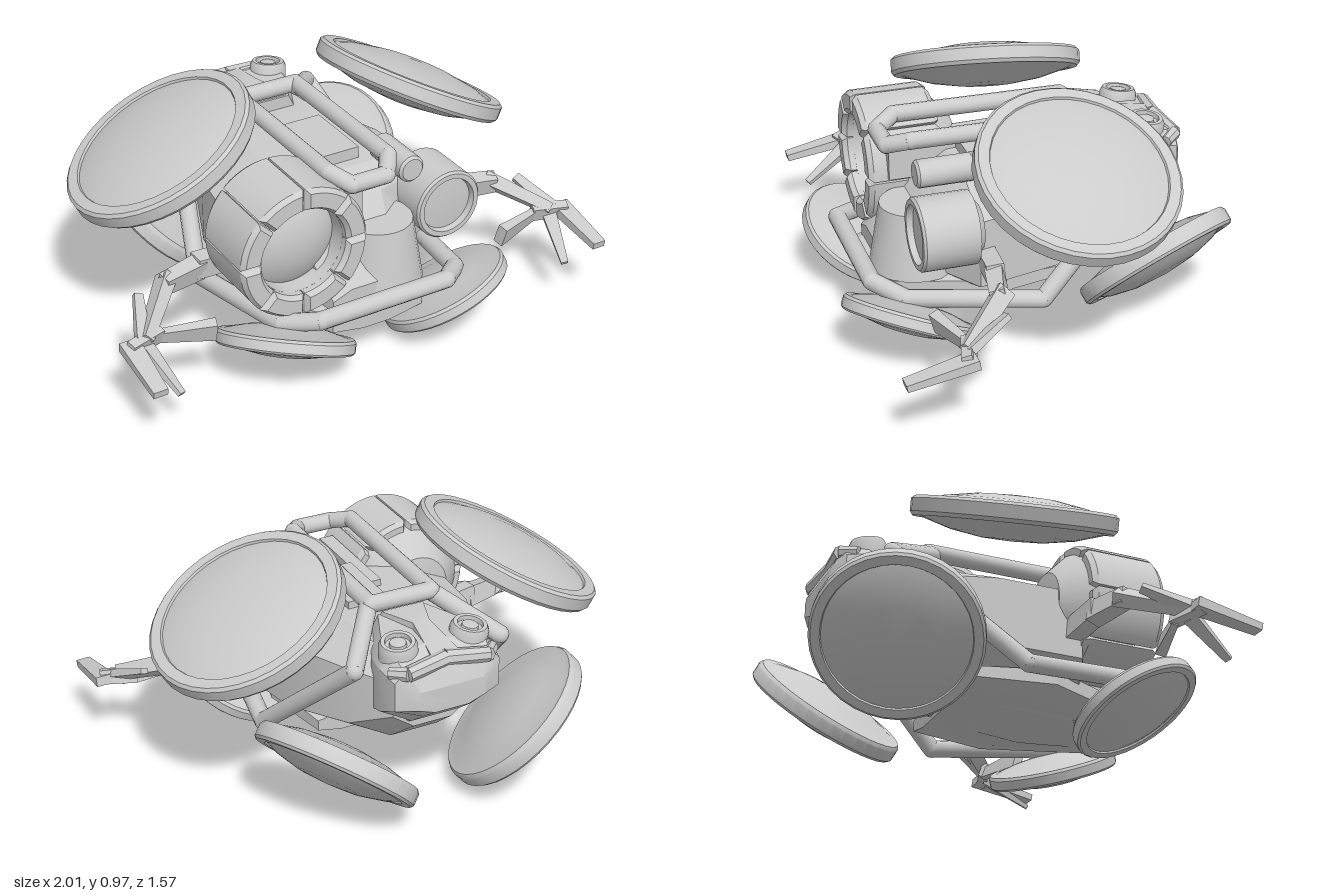
import * as THREE from 'three';
import { toCreasedNormals } from 'three/addons/utils/BufferGeometryUtils.js';

const mat = new THREE.MeshStandardMaterial({ color: 0xcccccc, side: THREE.DoubleSide });
const UP = new THREE.Vector3(0, 1, 0);
const V = (p) => new THREE.Vector3(...p);

function add(parent, name, geo, pos = [0, 0, 0], rot = [0, 0, 0], crease = 0.6) {
  const m = new THREE.Mesh(toCreasedNormals(geo, crease), mat);
  m.name = name;
  m.position.set(...pos);
  m.rotation.set(...rot);
  parent.add(m);
  return m;
}

// Turned part from [radius, height] pairs, bottom to top
const lathe = (pts, seg = 32) => new THREE.LatheGeometry(pts.map(p => new THREE.Vector2(...p)), seg);

// Round or tapered rod between two points
function rod(parent, name, a, b, r0, r1 = r0, seg = 12) {
  const d = V(b).sub(V(a));
  const m = add(parent, name, new THREE.CylinderGeometry(r1, r0, d.length(), seg));
  m.position.copy(V(a).addScaledVector(d, 0.5));
  m.quaternion.setFromUnitVectors(UP, d.normalize());
  return m;
}

// Bent pipe: rods with ball joints
function pipe(parent, name, pts, r) {
  const g = new THREE.Group();
  g.name = name;
  pts.forEach((p, i) => {
    if (i) rod(g, 'pipeRun', pts[i - 1], p, r);
    add(g, 'pipeJoint', new THREE.SphereGeometry(r, 12, 8), p);
  });
  parent.add(g);
}

// Flat tapered bar between two points
function blade(parent, name, a, b, w0, w1, thick) {
  const m = rod(parent, name, a, b, w0, w1, 4);
  m.geometry.rotateY(Math.PI / 4);
  m.scale.set(1, 1, thick);
}

// Skin through closed cross-sections of equal length, with both ends capped
function loft(rings) {
  const n = rings[0].length, pos = rings.flat(2), idx = [];
  for (let i = 0; i < rings.length - 1; i++)
    for (let j = 0; j < n; j++) {
      const a = i * n + j, b = i * n + (j + 1) % n;
      idx.push(a, b, b + n, a, b + n, a + n);
    }
  const last = (rings.length - 1) * n;
  for (let j = 1; j < n - 1; j++) idx.push(0, j + 1, j, last, last + j, last + j + 1);
  const g = new THREE.BufferGeometry();
  g.setAttribute('position', new THREE.Float32BufferAttribute(pos, 3));
  g.setIndex(idx);
  return g;
}

// Eight-sided section at depth z: bottom, waist and roof half-widths, bottom and top heights
const section = ([z, wb, wm, wt, y0, y1]) => {
  const h = y1 - y0, a = y0 + h * 0.25, b = y0 + h * 0.8;
  return [[-wb, y0, z], [wb, y0, z], [wm, a, z], [wm, b, z], [wt, y1, z], [-wt, y1, z], [-wm, b, z], [-wm, a, z]];
};

// Lens-shaped disc whose domed face looks along normal
function disc(parent, name, r, t, center, normal, dome, belly) {
  const m = add(parent, name, lathe([
    [0, -t - belly], [r * 0.3, -t - belly * 0.92], [r * 0.6, -t - belly * 0.6], [r * 0.9, -t], [r * 0.97, -t],
    [r, -t * 0.6], [r, t * 0.7], [r * 0.97, t], [r * 0.865, t], [r * 0.855, t * 0.75],
    [r * 0.7, t * 0.75 + dome * 0.42], [r * 0.4, t * 0.75 + dome * 0.83], [0, t * 0.75 + dome]], 36), center);
  m.quaternion.setFromUnitVectors(UP, V(normal).normalize());
}

export function createModel() {
  const model = new THREE.Group();
  model.name = 'submersibleCraft';

  // Hull
  add(model, 'hull', loft([
    [-0.5, 0.08, 0.17, 0.11, 0.36, 0.62], [-0.35, 0.1, 0.28, 0.17, 0.24, 0.67],
    [-0.05, 0.13, 0.4, 0.2, 0.17, 0.67], [0.27, 0.15, 0.44, 0.23, 0.15, 0.65],
    [0.38, 0.13, 0.22, 0.15, 0.15, 0.58], [0.47, 0.11, 0.2, 0.13, 0.15, 0.46],
    [0.58, 0.08, 0.18, 0.1, 0.16, 0.32]].map(section)), [0, 0, 0], [0, 0, 0], 0.4);
  add(model, 'keelPlate', loft([
    [-0.12, 0.2, 0.3, 0.2, 0.17, 0.25], [0.2, 0.24, 0.36, 0.26, 0.16, 0.27],
    [0.61, 0.06, 0.2, 0.14, 0.15, 0.25]].map(section)), [0, 0, 0], [0, 0, 0], 0.3);
  add(model, 'frontDrum', new THREE.CylinderGeometry(0.14, 0.185, 0.26, 24), [0.1, 0.375, 0.43]);
  add(model, 'spineBox', new THREE.BoxGeometry(0.06, 0.14, 0.44), [-0.04, 0.62, 0.28]);
  add(model, 'roofBlock', new THREE.BoxGeometry(0.16, 0.08, 0.3), [0.06, 0.66, 0.08]);

  // Rear head with two round lenses and a brow
  const head = new THREE.Group();
  head.name = 'rearHead';
  model.add(head);
  add(head, 'headShell', loft([
    [-0.65, 0.07, 0.14, 0.13, 0.5, 0.6], [-0.61, 0.1, 0.22, 0.18, 0.47, 0.68], [-0.52, 0.1, 0.235, 0.19, 0.4, 0.72],
    [-0.4, 0.12, 0.21, 0.17, 0.33, 0.72], [-0.24, 0.11, 0.13, 0.1, 0.4, 0.72]].map(section)), [0, 0, 0], [0, 0, 0], 0.4);
  add(head, 'snout', loft([
    [-0.61, 0.04, 0.06, 0.06, 0.5, 0.7], [-0.4, 0.03, 0.04, 0.035, 0.5, 0.745],
    [-0.25, 0.08, 0.1, 0.09, 0.5, 0.735]].map(section)), [0, 0, 0], [0, 0, 0], 0.3);
  for (const s of [-1, 1]) {
    add(head, 'lensHousing', lathe([
      [0.075, -0.06], [0.075, 0.01], [0.065, 0.03], [0.05, 0.03], [0.048, 0.012],
      [0.033, 0.012], [0.031, 0.025], [0, 0.032]], 20), [s * 0.15, 0.72, -0.5], [-0.12, 0, -s * 0.1]);
    rod(head, 'brow', [0, 0.685, -0.59], [s * 0.17, 0.67, -0.615], 0.033, 0.03, 8);
    rod(head, 'browEnd', [s * 0.165, 0.67, -0.615], [s * 0.215, 0.66, -0.56], 0.03, 0.025, 8);
  }

  // Right pod: drum with a segmented collar around a recessed domed window
  const pod = new THREE.Group();
  pod.name = 'rightPod';
  pod.position.set(-0.295, 0.535, 0.26);
  model.add(pod);
  add(pod, 'podDrum', lathe([
    [0, -0.1], [0.14, -0.08], [0.225, 0], [0.247, 0.05], [0.247, 0.22], [0.21, 0.27], [0.18, 0.27], [0.178, 0.2],
    [0.14, 0.225], [0.08, 0.245], [0, 0.255]], 32), [0, 0, 0], [Math.PI / 2, 0, 0]);
  const wedge = new THREE.Shape();
  const half = Math.PI / 8 - 0.015;
  wedge.absarc(0, 0, 0.267, -half, half, false);
  wedge.absarc(0, 0, 0.18, half, -half, true);
  for (let i = 0; i < 8; i++)
    add(pod, 'collarSegment', new THREE.ExtrudeGeometry(wedge, {
      depth: 0.27, curveSegments: 3, bevelEnabled: true, bevelThickness: 0.02, bevelSize: 0.014, bevelOffset: -0.014, bevelSegments: 1
    }), [0, 0, 0.025], [0, 0, (i + 0.5) * Math.PI / 4], 0.4);

  // Left lamp and a small canister
  add(model, 'leftLamp', lathe([
    [0, -0.13], [0.09, -0.12], [0.125, -0.09], [0.143, -0.09], [0.143, 0.12], [0.135, 0.13],
    [0.115, 0.13], [0.11, 0.105], [0, 0.115]], 28), [0.38, 0.508, 0.38], [Math.PI / 2, 0, 0]);
  add(model, 'canister', lathe([[0, -0.11], [0.055, -0.11], [0.055, 0.1], [0.045, 0.11], [0, 0.11]], 16),
    [0.235, 0.685, 0.355], [Math.PI / 2, 0, 0]);

  // Roof rail
  const rail = [[0.13, 0.77, -0.24], [0.13, 0.775, 0.45], [0.075, 0.745, 0.53]];
  const flip = ([x, y, z]) => [-x, y, z];
  pipe(model, 'roofRail', [...rail, ...rail.map(flip).reverse(), rail[0]], 0.034);

  // Frame pipe from the roof, down the flanks and round the front as a bumper
  const frame = [[0.13, 0.76, -0.22], [0.31, 0.64, -0.46], [0.47, 0.2, 0.03], [0.39, 0.25, 0.55], [0.28, 0.285, 0.655]];
  pipe(model, 'framePipe', [...frame, ...frame.map(flip).reverse()], 0.036);

  // Mirrored sides: discs and the grabber arms
  for (const s of [-1, 1]) {
    const P = (x, y, z) => [s * x, y, z];
    const side = new THREE.Group();
    side.name = s > 0 ? 'leftSide' : 'rightSide';
    model.add(side);
    disc(side, 'upperDisc', 0.395, 0.038, P(0.563, 0.754, -0.067), P(0.46, 0.885, -0.09), 0.05, 0.06);
    disc(side, 'rearDisc', 0.328, 0.036, P(0.387, 0.257, -0.463), P(0.62, -0.72, -0.32), 0.055, 0.045);
    disc(side, 'frontDisc', 0.267, 0.028, P(0.36, 0.147, 0.53), P(0.33, -0.86, 0.38), 0.04, 0.035);

    const arm = new THREE.Group();
    arm.name = 'grabberArm';
    side.add(arm);
    blade(arm, 'armRoot', P(0.4, 0.39, 0.24), P(0.6, 0.41, 0.26), 0.06, 0.06, 0.8);
    blade(arm, 'upperArm', P(0.57, 0.4, 0.255), P(0.75, 0.4, 0.3), 0.06, 0.05, 0.8);
    blade(arm, 'foreArm', P(0.72, 0.41, 0.27), P(0.91, 0.31, 0.47), 0.05, 0.037, 0.8);
    blade(arm, 'innerFinger', P(0.86, 0.29, 0.44), P(0.64, 0.285, 0.505), 0.035, 0.06, 0.5);
    blade(arm, 'palm', P(0.84, 0.3, 0.44), P(0.98, 0.3, 0.485), 0.045, 0.04, 0.7);
    blade(arm, 'outerFinger', P(0.968, 0.3, 0.45), P(0.973, 0.25, 0.715), 0.055, 0.04, 0.5);
    blade(arm, 'lowerFinger', P(0.91, 0.28, 0.47), P(0.86, 0.165, 0.65), 0.04, 0.02, 0.6);
    blade(arm, 'upperFinger', P(0.92, 0.31, 0.47), P(0.855, 0.39, 0.3), 0.04, 0.025, 0.6);
  }
  return model;
}
